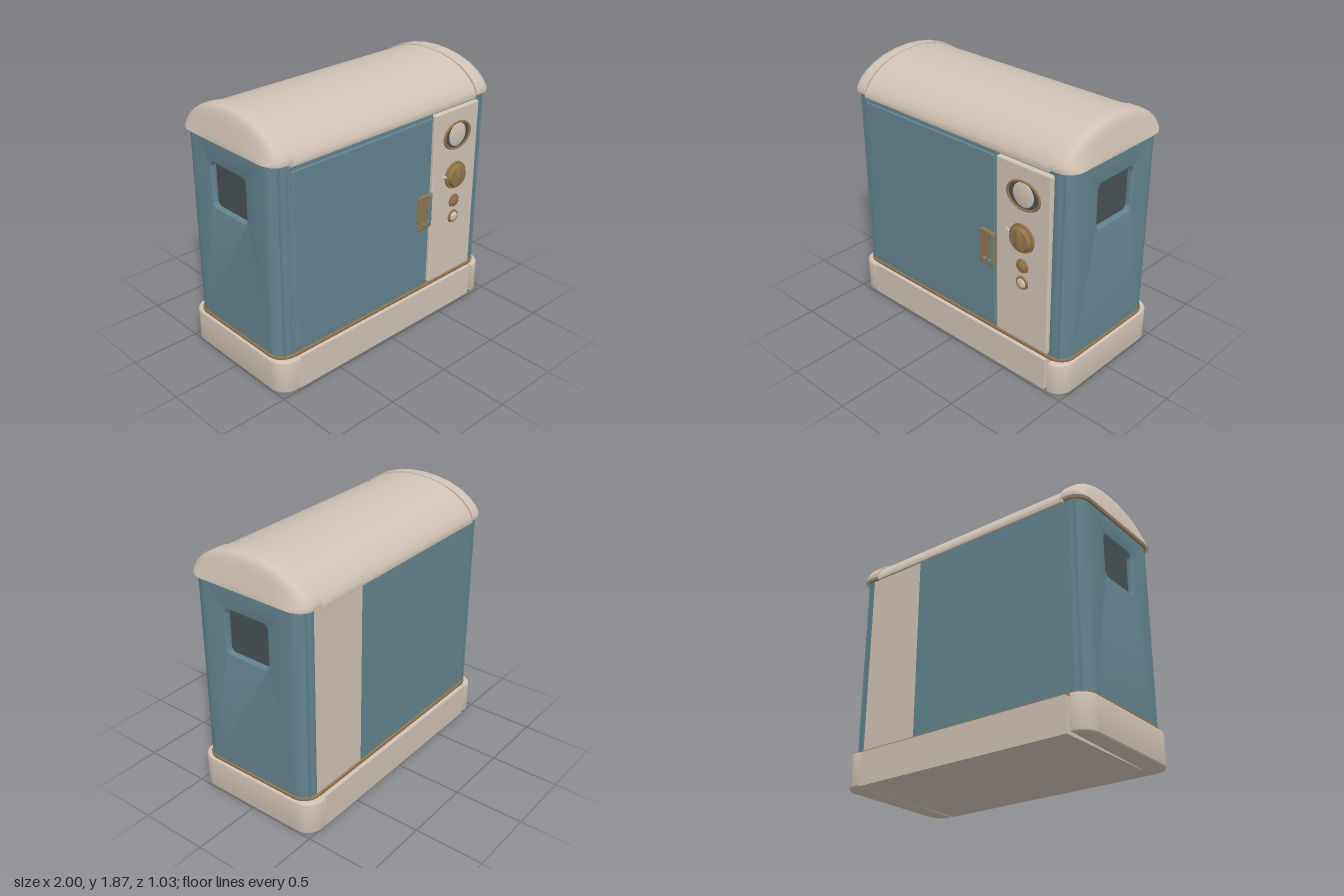
import * as THREE from 'three';
import { toCreasedNormals } from 'three/addons/utils/BufferGeometryUtils.js';
import { RoundedBoxGeometry } from 'three/addons/geometries/RoundedBoxGeometry.js';

const mat = (name, color) => Object.assign(new THREE.MeshStandardMaterial({ color }), { name });

// Rounded rectangle, usable as a shape or a hole
function roundRect(w, h, r, Type = THREE.Shape) {
  const x = w / 2 - r, y = h / 2 - r, s = new Type();
  s.moveTo(-x, -y - r);
  s.absarc(x, -y, r, -Math.PI / 2, 0);
  s.absarc(x, y, r, 0, Math.PI / 2);
  s.absarc(-x, y, r, Math.PI / 2, Math.PI);
  s.absarc(-x, -y, r, Math.PI, Math.PI * 1.5);
  return s;
}

// Half of the roof arch: width fraction, height fraction
const ARCH = [[1, 0], [1.005, 0.08], [0.985, 0.18], [0.93, 0.35], [0.82, 0.55],
  [0.66, 0.74], [0.45, 0.89], [0.23, 0.97], [0, 1]];
const RING = [...ARCH, ...ARCH.slice(0, -1).reverse().map(([u, v]) => [-u, v])];

// Arched solid through sections [x, half width, height], x increasing
function archLoft(sections, y0, z0) {
  const pos = [], idx = [], n = RING.length, last = sections.length - 1;
  for (const [x, w, h] of sections)
    for (const [u, v] of RING) pos.push(x, y0 + v * h, z0 + u * w);
  for (const k of [0, last]) pos.push(sections[k][0], y0 + sections[k][2] * 0.4, z0);
  const c = n * (last + 1);
  for (let i = 0; i < n; i++) {
    const j = (i + 1) % n;
    for (let s = 0; s < last; s++) {
      const a = s * n + i, b = a + n, e = (s + 1) * n + j, d = s * n + j;
      idx.push(a, b, e, a, e, d);
    }
    idx.push(c, i, j, c + 1, last * n + j, last * n + i);
  }
  const g = new THREE.BufferGeometry();
  g.setAttribute('position', new THREE.Float32BufferAttribute(pos, 3));
  g.setIndex(idx);
  return toCreasedNormals(g, 0.75);
}

export function createModel() {
  const cream = mat('cream', 0xd0c2b5), blue = mat('blue', 0x64848e);
  const brass = mat('brass', 0x92734a), glass = mat('dark glass', 0x485152);
  const root = new THREE.Group();
  const ZC = -0.008;

  function add(name, geo, m, x = 0, y = 0, z = 0, parent = root) {
    const mesh = new THREE.Mesh(geo, m);
    mesh.name = name;
    mesh.position.set(x, y, z);
    parent.add(mesh);
    return mesh;
  }
  // Plan outline extruded upwards from y = 0 to h, edges softened by b
  function slab(shape, h, b) {
    const g = new THREE.ExtrudeGeometry(shape, { depth: h - 2 * b, bevelEnabled: true, bevelSize: b,
      bevelThickness: b, bevelOffset: -b, bevelSegments: 3, curveSegments: 10 });
    g.translate(0, 0, b).rotateX(-Math.PI / 2);
    return toCreasedNormals(g, 0.6);
  }
  const disc = (r1, r2, d) => new THREE.CylinderGeometry(r1, r2, d, 32).rotateX(Math.PI / 2);
  const box = (w, h, d, r) => new RoundedBoxGeometry(w, h, d, 3, r);

  // Plinth: middle block and two rounded end blocks
  add('plinthMiddle', new THREE.BoxGeometry(1.7, 0.243, 0.988), cream, 0, 0.1235, -0.01);
  const end = new THREE.Shape(), r = 0.12;
  end.moveTo(0.84, -0.5);
  end.absarc(1 - r, -0.5 + r, r, -Math.PI / 2, 0);
  end.absarc(1 - r, 0.5 - r, r, 0, Math.PI / 2);
  end.lineTo(0.84, 0.5);
  for (const s of [1, -1]) {
    add('plinthEnd', slab(end, 0.248, 0.015), cream, 0, 0, -0.01).rotation.y = s > 0 ? 0 : Math.PI;
  }

  // Brass trims below and above the body
  add('lowerTrim', slab(roundRect(1.97, 0.93, 0.12), 0.026, 0.006), brass, 0, 0.242, ZC);
  add('upperTrim', slab(roundRect(1.97, 0.91, 0.11), 0.024, 0.006), brass, 0, 1.614, ZC);

  // Body core, corner columns, side walls with recessed windows
  add('bodyCore', new THREE.BoxGeometry(1.86, 1.36, 0.885), blue, 0, 0.94, ZC);
  for (const sx of [1, -1]) {
    for (const sz of [1, -1]) {
      add('cornerColumn', new THREE.CylinderGeometry(0.1, 0.1, 1.36, 40), blue,
        sx * 0.875, 0.94, ZC + sz * 0.35);
    }
    const wall = new THREE.Shape();
    wall.moveTo(-0.35, 0.26).lineTo(0.35, 0.26).lineTo(0.35, 1.62).lineTo(-0.35, 1.62);
    const hole = roundRect(0.37, 0.335, 0.045, THREE.Path).getPoints(8)
      .map(p => p.add(new THREE.Vector2(0, 1.307)));
    wall.holes.push(new THREE.Path(hole));
    const g = new THREE.ExtrudeGeometry(wall, { depth: 0.03, bevelEnabled: true,
      bevelSize: 0.01, bevelThickness: 0.01, bevelSegments: 3 });
    g.translate(0, 0, 0.935).rotateY(sx * Math.PI / 2);
    add('sideWall', toCreasedNormals(g, 0.6), blue, 0, 0, ZC);
    add('window', new THREE.BoxGeometry(0.008, 0.36, 0.4), glass, sx * 0.932, 1.307, ZC);
  }

  // Roof: middle barrel and tapered end caps
  add('roofMiddle', archLoft([[-0.85, 0.468, 0.255], [0.82, 0.468, 0.255]], 1.606, ZC), cream);
  const cap = [[0.82, 0.475, 0.238], [0.9, 0.475, 0.238], [0.925, 0.47, 0.234], [0.943, 0.462, 0.222],
    [0.957, 0.452, 0.195], [0.97, 0.44, 0.145], [0.985, 0.418, 0.08], [0.997, 0.385, 0.028], [1, 0.35, 0.01]];
  add('roofEndLeft', archLoft(cap, 1.628, ZC), cream);
  add('roofEndRight', archLoft(cap.map(([x, w, h]) => [x === 0.82 ? -0.84 : -x, w, h]).reverse(), 1.628, ZC), cream);

  // Back panels
  add('backPanel', new THREE.BoxGeometry(1.27, 1.34, 0.02), blue, -0.232, 0.935, -0.45);
  add('backCreamPanel', new THREE.BoxGeometry(0.46, 1.34, 0.02), cream, 0.635, 0.935, -0.451);

  // Front door with a raised inner face
  add('door', box(1.265, 1.335, 0.04, 0.008), blue, -0.237, 0.938, 0.433);
  add('doorFace', box(1.235, 1.275, 0.03, 0.01), blue, -0.232, 0.938, 0.447);

  // Door handle with inset strip and two screws
  const handle = new THREE.Group();
  handle.name = 'handle';
  root.add(handle);
  add('handlePlate', box(0.135, 0.265, 0.025, 0.01), brass, 0.333, 0.887, 0.466, handle);
  add('handleStrip', box(0.036, 0.235, 0.012, 0.005), blue, 0.373, 0.893, 0.478, handle);
  for (const x of [0.312, 0.358])
    add('screw', new THREE.SphereGeometry(0.016, 16, 10), blue, x, 0.802, 0.479, handle);

  // Control panel
  add('controlPanel', box(0.448, 1.305, 0.05, 0.012), cream, 0.628, 0.933, 0.443);

  // Oval gauge
  const gauge = new THREE.Group();
  gauge.name = 'gauge';
  gauge.position.set(0.635, 1.385, 0.468);
  root.add(gauge);
  add('gaugeRing', new THREE.TorusGeometry(0.13, 0.011, 10, 48), brass, 0, 0, 0, gauge).scale.y = 0.74;
  add('gaugeBack', disc(0.128, 0.128, 0.006), glass, 0, 0, 0, gauge).scale.y = 0.74;
  add('gaugeDome', new THREE.SphereGeometry(0.088, 32, 20), cream, 0, 0.005, 0, gauge).scale.z = 0.16;

  // Rotary knob with ridged grip and pointer
  add('knobSkirt', disc(0.1, 0.103, 0.02), brass, 0.63, 1.082, 0.474);
  add('knobBody', disc(0.075, 0.088, 0.026), brass, 0.63, 1.082, 0.497);
  add('knobGrip', new THREE.SphereGeometry(1, 24, 16), brass, 0.63, 1.082, 0.5).scale.set(0.04, 0.085, 0.021);
  const pointer = add('knobPointer', new THREE.ConeGeometry(0.014, 0.06, 12), cream, 0.508, 1.1, 0.472);
  pointer.rotation.z = 1.25;

  // Push buttons
  for (const [y, m] of [[0.877, brass], [0.75, cream]]) {
    add('buttonRing', disc(0.046, 0.051, 0.014), brass, 0.635, y, 0.473);
    add('button', new THREE.SphereGeometry(0.036, 24, 14), m, 0.635, y, 0.478).scale.z = 0.4;
  }
  return root;
}
